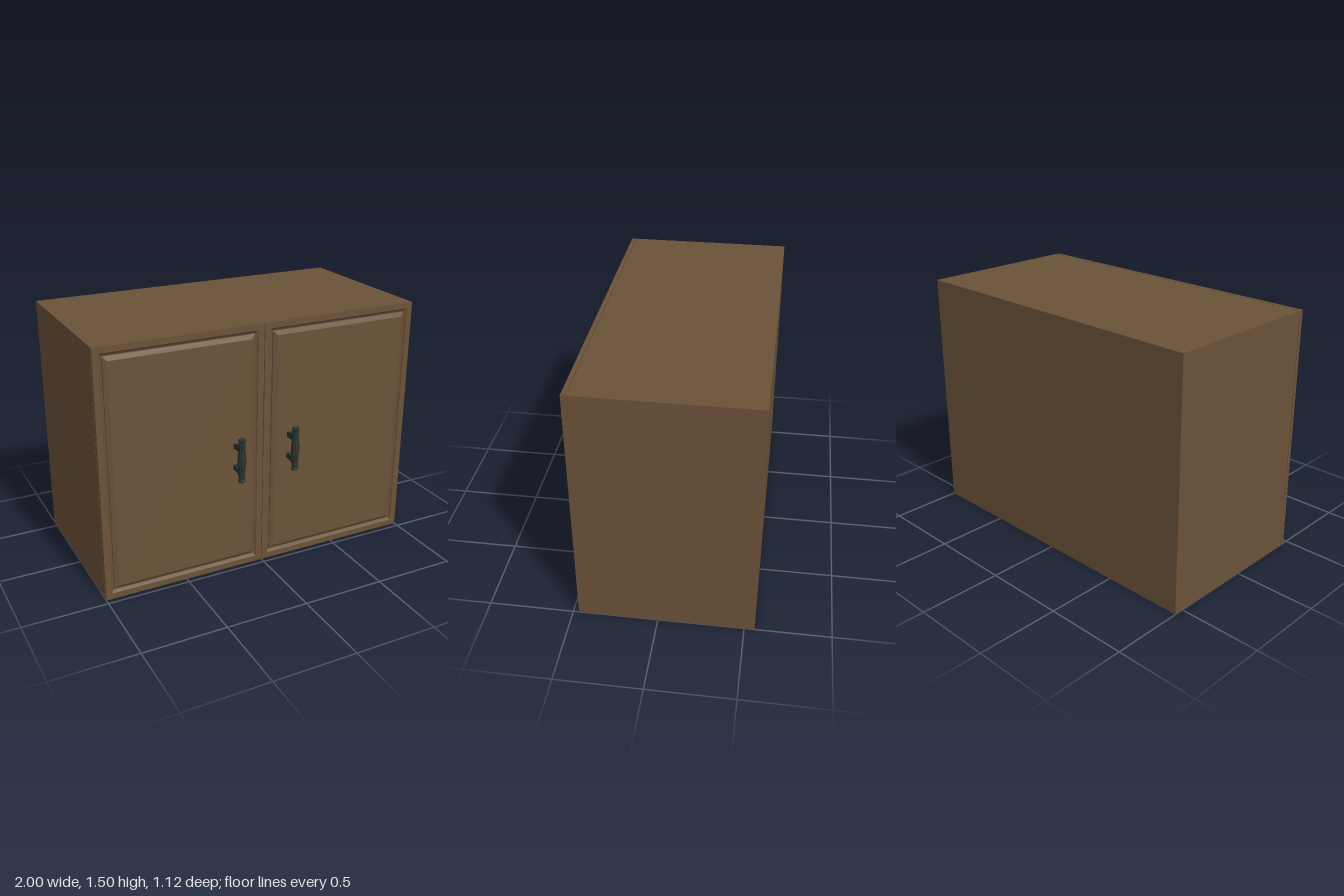
import * as THREE from 'three';

const wood = new THREE.MeshStandardMaterial({ color: 0x6b5239 });
wood.name = 'brown wood';
const iron = new THREE.MeshStandardMaterial({ color: 0x2b322b });
iron.name = 'dark iron';

const HEIGHT = 1.5, BACK = -0.56, BODY_FRONT = 0.437, DOOR_BACK = 0.441;

function mesh(name, geometry, material) {
  const m = new THREE.Mesh(geometry, material);
  m.name = name;
  return m;
}

// Solid lofted through rectangles given as [x0, x1, y0, y1, z], back to front
function loftRects(rects) {
  const pos = [];
  const rings = rects.map(([x0, x1, y0, y1, z]) => [[x0, y0, z], [x1, y0, z], [x1, y1, z], [x0, y1, z]]);
  const quad = (a, b, c, d) => pos.push(...a, ...b, ...c, ...a, ...c, ...d);
  for (let i = 0; i < rings.length - 1; i++) {
    const p = rings[i], q = rings[i + 1];
    for (let k = 0; k < 4; k++) {
      const n = (k + 1) % 4;
      quad(p[k], p[n], q[n], q[k]);
    }
  }
  quad(...rings[0].slice().reverse());
  quad(...rings[rings.length - 1]);
  const g = new THREE.BufferGeometry();
  g.setAttribute('position', new THREE.Float32BufferAttribute(pos, 3));
  g.computeVertexNormals();
  return g;
}

// Door: flat frame, sloped groove and raised bevelled panel as [inset, z]
function doorGeometry(x0, x1) {
  const steps = [[0, DOOR_BACK], [0, 0.466], [0.036, 0.466], [0.042, 0.458], [0.054, 0.451], [0.056, 0.458], [0.08, 0.471]];
  return loftRects(steps.map(([i, z]) => [x0 + i, x1 - i, i, HEIGHT - i, z]));
}

// Handle: faceted bar with a swollen middle, on two flared posts
function makeHandle(name, x, y) {
  const handle = new THREE.Group();
  handle.name = name;
  const half = [[0.132, 0.022], [0.122, 0.022], [0.117, 0.019], [0.082, 0.0185], [0.045, 0.022], [0.02, 0.0245]];
  const profile = [
    [0, -0.132], ...half.map(([h, r]) => [r, -h]),
    ...half.slice().reverse().map(([h, r]) => [r, h]), [0, 0.132],
  ].map(([r, h]) => new THREE.Vector2(r, h));
  const lathe = new THREE.LatheGeometry(profile, 8, Math.PI / 8).toNonIndexed();
  lathe.computeVertexNormals();
  const bar = mesh('handleBar', lathe, iron);
  bar.position.z = 0.54;
  handle.add(bar);
  for (const s of [-1, 1]) {
    const span = (a, b) => [Math.min(s * a, s * b), Math.max(s * a, s * b)];
    const post = loftRects([
      [-0.019, 0.019, ...span(0.05, 0.081), 0.462],
      [-0.015, 0.015, ...span(0.052, 0.084), 0.495],
      [-0.017, 0.017, ...span(0.053, 0.092), 0.535],
    ]);
    handle.add(mesh(s > 0 ? 'upperPost' : 'lowerPost', post, iron));
  }
  handle.position.set(x, y, 0);
  return handle;
}

export function createModel() {
  const cabinet = new THREE.Group();
  cabinet.name = 'cabinet';

  const depth = BODY_FRONT - BACK;
  const body = mesh('cabinetBody', new THREE.BoxGeometry(2, HEIGHT, depth), wood);
  body.position.set(0, HEIGHT / 2, (BODY_FRONT + BACK) / 2);
  cabinet.add(body);

  cabinet.add(mesh('rightDoor', doorGeometry(-1, -0.002), wood));
  cabinet.add(mesh('leftDoor', doorGeometry(0.002, 1), wood));
  cabinet.add(makeHandle('rightHandle', -0.177, 0.733));
  cabinet.add(makeHandle('leftHandle', 0.173, 0.738));
  return cabinet;
}
